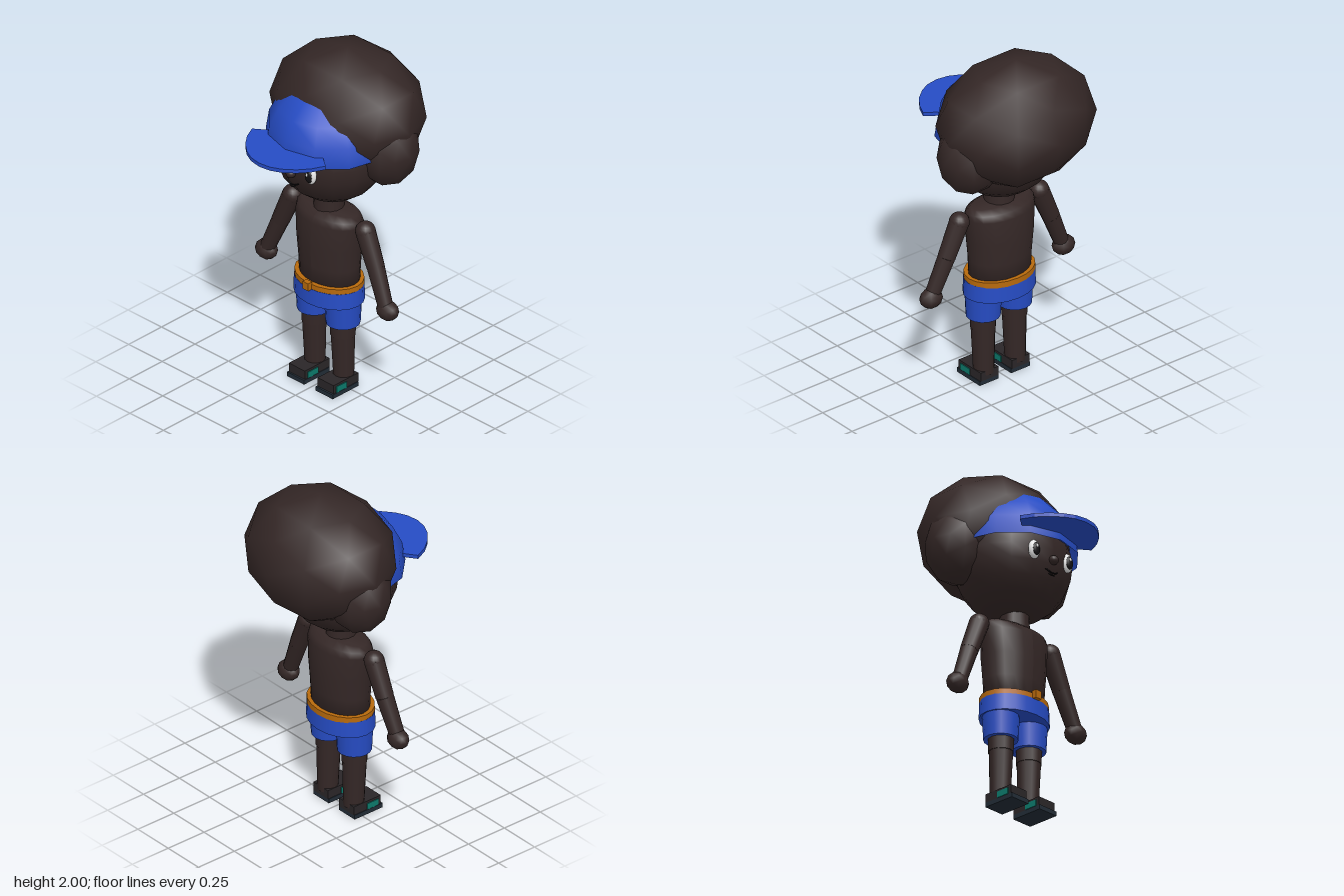
import * as THREE from 'three';

const mat = (name, color) => {
  const m = new THREE.MeshStandardMaterial({ color });
  m.name = name;
  return m;
};

export function createModel() {
  const root = new THREE.Group();
  root.name = 'boyInCap';

  const skin = mat('darkBrown', 0x342726);
  const blue = mat('blue', 0x264cc4);
  blue.side = THREE.DoubleSide;
  const orange = mat('orange', 0xb86a0c);
  const white = mat('white', 0xeeeeee);
  const black = mat('black', 0x141214);
  const shoe = mat('shoeDark', 0x2a2628);
  const sole = mat('soleSlate', 0x222c36);
  const teal = mat('teal', 0x0c7a6c);

  const add = (name, geo, material, pos = [0, 0, 0], scale = [1, 1, 1]) => {
    const m = new THREE.Mesh(geo, material);
    m.name = name;
    m.position.set(...pos);
    m.scale.set(...scale);
    root.add(m);
    return m;
  };
  const ball = () => new THREE.SphereGeometry(1, 16, 12);
  const puff = () => new THREE.IcosahedronGeometry(1, 1);
  const box = (x, y, z) => new THREE.BoxGeometry(x, y, z);

  // Tapered limb between two points
  const limb = (name, a, b, rA, rB, material) => {
    const p = new THREE.Vector3(...a), q = new THREE.Vector3(...b);
    const d = p.clone().sub(q);
    const m = add(name, new THREE.CylinderGeometry(rA, rB, d.length(), 12), material,
      p.clone().add(q).multiplyScalar(0.5).toArray());
    m.quaternion.setFromUnitVectors(new THREE.Vector3(0, 1, 0), d.normalize());
    return m;
  };

  // Head and hair
  add('head', ball(), skin, [0, 1.46, -0.02], [0.33, 0.32, 0.31]);
  add('hair', puff(), skin, [0, 1.64, -0.15], [0.46, 0.36, 0.38]);
  add('nose', ball(), skin, [0, 1.4, 0.285], [0.028, 0.026, 0.028]);

  // Smile and lower lip
  for (const [name, w, y] of [['mouth', 0.045, 1.328], ['lowerLip', 0.02, 1.314]]) {
    const curve = new THREE.QuadraticBezierCurve3(
      new THREE.Vector3(-w, y + w * 0.35, 0.268),
      new THREE.Vector3(0, y - w * 0.35, 0.284),
      new THREE.Vector3(w, y + w * 0.35, 0.268));
    add(name, new THREE.TubeGeometry(curve, 8, 0.004, 6), black);
  }

  // Cap dome
  add('capDome', new THREE.SphereGeometry(1, 12, 5, 0, Math.PI * 2, 0, Math.PI / 2), blue,
    [0, 1.5, -0.025], [0.36, 0.365, 0.365]);

  // Cap visor, outlined on the ground plane and laid flat
  const half = [[0.275, 0.3], [0.24, 0.375], [0.19, 0.438], [0.13, 0.487], [0.07, 0.516]];
  const outline = [[0.2, 0.245], ...half, [0, 0.527],
    ...half.slice().reverse().map(([x, z]) => [-x, z]), [-0.2, 0.245]];
  const visorShape = new THREE.Shape(outline.map(([x, z]) => new THREE.Vector2(x, z)));
  const visor = new THREE.ExtrudeGeometry(visorShape, { depth: 0.022, bevelEnabled: false });
  visor.rotateX(Math.PI / 2);
  add('capVisor', visor, blue, [0, 1.567, 0]);

  // Neck
  add('neck', new THREE.CylinderGeometry(0.078, 0.085, 0.12, 14), skin, [0, 1.12, -0.005]);

  // Torso: unit lathe widened ring by ring to [y, half width, half depth]
  const rings = [[0.6, 0.185, 0.133], [0.75, 0.19, 0.14], [0.88, 0.203, 0.147],
    [1.02, 0.217, 0.138], [1.055, 0.213, 0.12], [1.083, 0.195, 0.08]];
  const profile = rings.map(([y]) => new THREE.Vector2(1, y));
  const torso = new THREE.LatheGeometry(
    [new THREE.Vector2(0, 0.6), ...profile, new THREE.Vector2(0, 1.083)], 20);
  const pos = torso.attributes.position;
  for (let i = 0; i < pos.count; i++) {
    const ring = rings.find(r => Math.abs(r[0] - pos.getY(i)) < 1e-4);
    pos.setX(i, pos.getX(i) * ring[1]);
    pos.setZ(i, pos.getZ(i) * ring[2]);
  }
  torso.computeVertexNormals();
  add('torso', torso, skin, [0, 0, -0.01]);

  // Belt and shorts
  add('belt', new THREE.CylinderGeometry(1, 1, 0.034, 20), orange, [0, 0.64, -0.008], [0.21, 1, 0.16]);
  add('buckle', box(0.042, 0.046, 0.03), orange, [0, 0.647, 0.16]);
  add('shortsHip', new THREE.CylinderGeometry(0.98, 1, 0.094, 20), blue, [0, 0.58, -0.007], [0.215, 1, 0.164]);

  for (const [side, s] of [['left', 1], ['right', -1]]) {
    // Side hair puff
    add(side + 'HairPuff', puff(), skin, [s * 0.3, 1.51, -0.135], [0.183, 0.22, 0.18]);

    // Eye
    add(side + 'Eye', ball(), white, [s * 0.127, 1.43, 0.262], [0.036, 0.054, 0.025]);
    add(side + 'Pupil', ball(), black, [s * 0.127, 1.428, 0.278], [0.025, 0.038, 0.015]);
    add(side + 'EyeHighlight', ball(), white, [s * 0.127 - 0.004, 1.443, 0.291], [0.008, 0.011, 0.004]);

    // Arm and hand
    const shoulder = [s * 0.272, 1.03, -0.005], elbow = [s * 0.355, 0.84, 0], wrist = [s * 0.44, 0.64, 0.013];
    add(side + 'Shoulder', ball(), skin, shoulder, [0.056, 0.056, 0.056]);
    limb(side + 'UpperArm', shoulder, elbow, 0.056, 0.05, skin);
    limb(side + 'Forearm', elbow, wrist, 0.049, 0.042, skin);
    add(side + 'Hand', puff(), skin, [s * 0.452, 0.618, 0.01], [0.068, 0.058, 0.055]);

    // Leg
    const x = s * 0.107;
    add(side + 'ShortsLeg', new THREE.CylinderGeometry(0.102, 0.094, 0.16, 16), blue, [x, 0.478, -0.003]);
    limb(side + 'UpperLeg', [x, 0.45, -0.002], [x, 0.325, -0.002], 0.073, 0.07, skin);
    limb(side + 'LowerLeg', [x, 0.325, -0.002], [x, 0.05, -0.008], 0.067, 0.057, skin);

    // Shoe with a coloured patch on each flank
    add(side + 'Sole', box(0.128, 0.026, 0.195), sole, [x, 0.013, 0.043]);
    add(side + 'Shoe', box(0.12, 0.052, 0.188), shoe, [x, 0.052, 0.036]);
    for (const f of [-1, 1]) {
      add(side + 'ShoePatch', box(0.006, 0.036, 0.078), teal, [x + f * 0.062, 0.046, 0.072]);
    }
  }
  return root;
}
